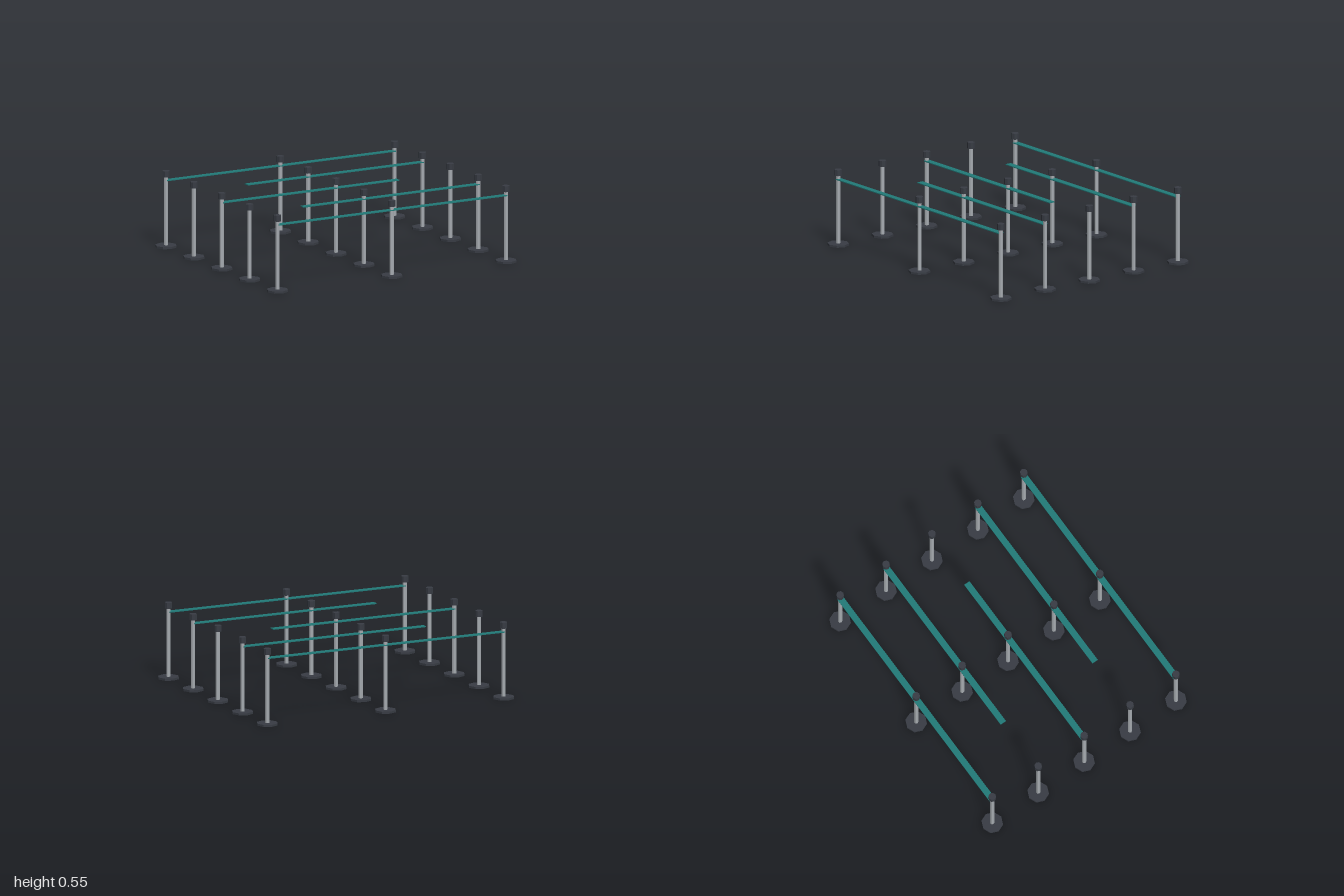
import * as THREE from 'three';

const mat = (name, color) => {
  const m = new THREE.MeshStandardMaterial({ color, flatShading: true });
  m.name = name;
  return m;
};

export function createModel() {
  const group = new THREE.Group();
  const dark = mat('dark plastic', 0x383c44);
  const steel = mat('steel', 0xa6abb0);
  const teal = mat('teal webbing', 0x217a78);

  const spanX = 0.923;   // outer post position
  const rowGap = 0.395;  // distance between rows

  // Eight-sided upright pieces, given by radius and bottom/top heights
  const upright = (r, y0, y1) =>
    new THREE.CylinderGeometry(r, r, y1 - y0, 8).translate(0, (y0 + y1) / 2, 0);
  const parts = [
    ['base', upright(0.077, 0, 0.015), dark],
    ['pole', upright(0.0155, 0.015, 0.508), steel],
    ['cap', upright(0.027, 0.507, 0.55), dark],
  ];

  // Belt start and end for each row, from back to front
  const belts = [
    [-spanX, spanX],
    [-0.5, spanX],
    [-spanX, 0.5],
    [-0.5, spanX],
    [-spanX, spanX],
  ];

  belts.forEach(([x0, x1], i) => {
    const row = new THREE.Group();
    row.name = `barrierRow${i + 1}`;
    row.position.z = (i - 2) * rowGap;

    // Three stanchions per row
    for (const x of [-spanX, 0, spanX]) {
      const post = new THREE.Group();
      post.name = 'stanchion';
      post.position.x = x;
      for (const [name, geometry, material] of parts) {
        const mesh = new THREE.Mesh(geometry, material);
        mesh.name = name;
        post.add(mesh);
      }
      row.add(post);
    }

    // Flat belt stretched through the posts
    const belt = new THREE.Mesh(new THREE.BoxGeometry(x1 - x0, 0.006, 0.046), teal);
    belt.name = 'belt';
    belt.position.set((x0 + x1) / 2, 0.481, 0);
    row.add(belt);
    group.add(row);
  });

  return group;
}
